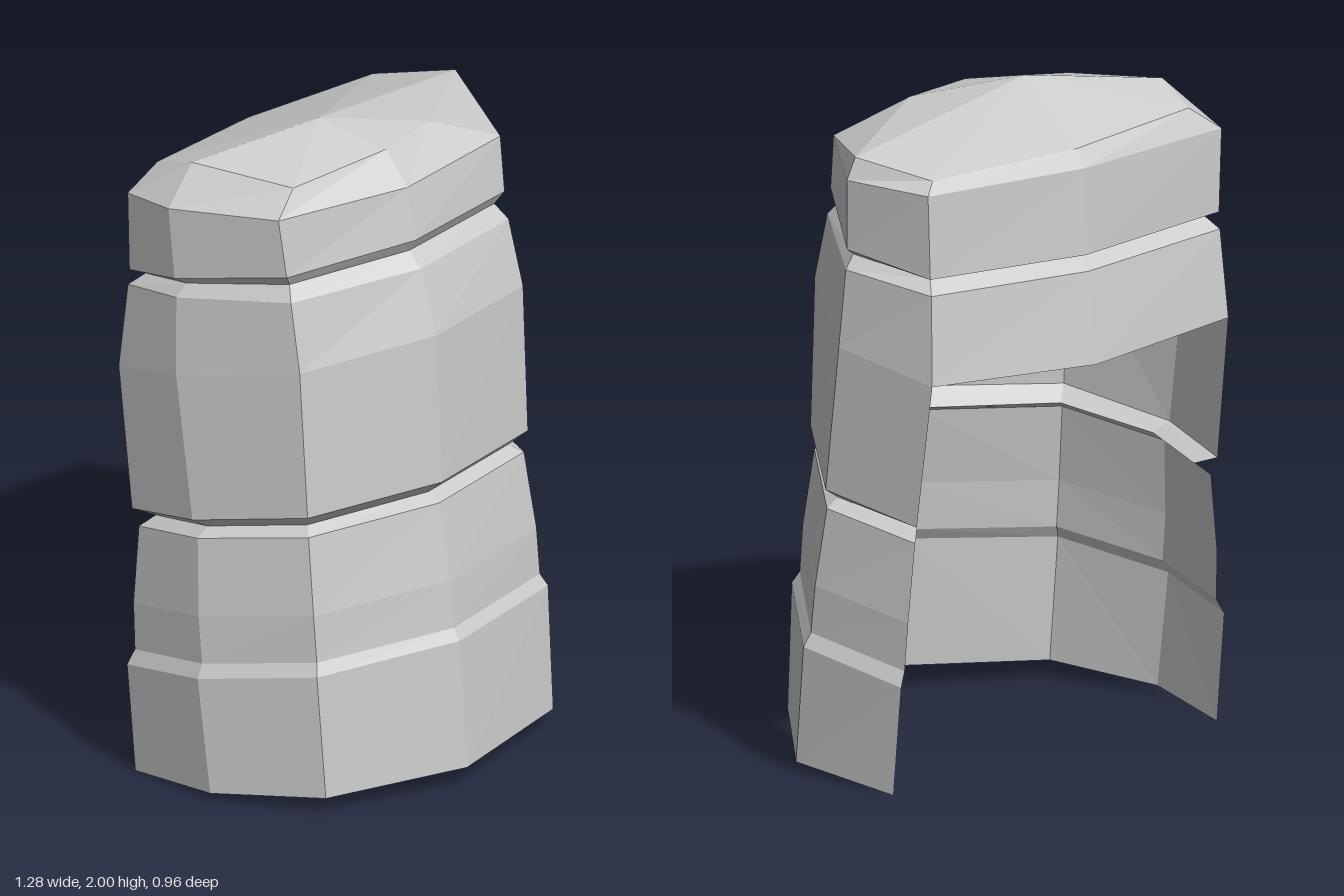
import * as THREE from 'three';

// Plan outline [x, z] at the foot and at the cap: right rear, round the front, left rear, rear centre
const FOOT = [[-0.63, -0.31], [-0.64, 0], [-0.48, 0.31], [-0.07, 0.49], [0.41, 0.385], [0.635, 0.04], [0.54, -0.31], [-0.07, -0.42]];
const CAP = [[-0.61, -0.36], [-0.62, -0.19], [-0.485, 0.12], [-0.07, 0.245], [0.375, 0.2], [0.57, -0.13], [0.455, -0.37], [-0.07, -0.42]];
const FRONT = 3; // index of the front centre column
const CX = -0.02, CZ = -0.03;

// Cross-sections: [height at front centre, width scale, depth scale, forward tilt]
const RINGS = [
  [0.07, 1, 1, 0.0875],
  [0.465, 1.02, 1.05, 0.165],
  [0.5, 0.985, 1.01, 0.16],
  [0.645, 0.985, 1.02, 0.16],
  [0.88, 0.955, 0.99, 0.165],
  [0.9, 0.895, 0.88, 0.165],
  [0.95, 0.975, 1.04, 0.18],
  [1.41, 0.985, 1.16, 0.2],
  [1.605, 0.97, 1.06, 0.12],
  [1.65, 0.92, 0.93, 0.15],
  [1.69, 0.975, 1.03, 0.18],
  [1.85, 1, 1, 0.04],
];

// Points of the chamfered crown and its peak
const CROWN = [
  [-0.51, 1.9, -0.335], [-0.525, 1.95, -0.185], [-0.4, 1.915, 0.1], [-0.07, 1.945, 0.16],
  [0.16, 1.945, 0.12], [0.54, 1.9, -0.13], [0.42, 1.86, -0.345], [-0.07, 1.875, -0.385],
];
const PEAK = [-0.13, 2, -0.05];

function ringPoints([y, kx, kz, tilt]) {
  const t = y / 1.85;
  const plan = FOOT.map(([x, z], i) => [
    CX + kx * (THREE.MathUtils.lerp(x, CAP[i][0], t) - CX),
    CZ + kz * (THREE.MathUtils.lerp(z, CAP[i][1], t) - CZ),
  ]);
  return plan.map(([x, z]) => [x, y + tilt * (z - plan[FRONT][1]), z]);
}

// Panels between two sections; a closed band also runs across the rear
function band(lower, upper, closed) {
  const tris = [];
  const n = closed ? 8 : 6;
  for (let i = 0; i < n; i++) {
    const j = (i + 1) % 8;
    tris.push(lower[i], lower[j], upper[j], lower[i], upper[j], upper[i]);
  }
  return tris;
}

export function createModel() {
  const group = new THREE.Group();
  const material = new THREE.MeshStandardMaterial({
    color: 0xcccccc, flatShading: true, side: THREE.DoubleSide,
  });
  const rings = RINGS.map(ringPoints);

  const addPart = (name, tris) => {
    const geometry = new THREE.BufferGeometry();
    geometry.setAttribute('position', new THREE.Float32BufferAttribute(tris.flat(), 3));
    geometry.computeVertexNormals();
    const mesh = new THREE.Mesh(geometry, material);
    mesh.name = name;
    group.add(mesh);
  };
  const shell = (from, to) => {
    const tris = [];
    for (let r = from; r < to; r++) tris.push(...band(rings[r], rings[r + 1], r >= 7));
    return tris;
  };

  // Plates open at the rear up to the rear panel, separated by grooves
  addPart('lowerPlate', shell(0, 4));
  addPart('lowerGroove', shell(4, 6));
  addPart('middlePlate', shell(6, 8));
  addPart('upperGroove', shell(8, 10));
  addPart('capBand', shell(10, 11));

  // Crown: chamfer and faceted top
  const top = band(rings[11], CROWN, true);
  CROWN.forEach((p, i) => top.push(p, CROWN[(i + 1) % 8], PEAK));
  addPart('crown', top);

  return group;
}
